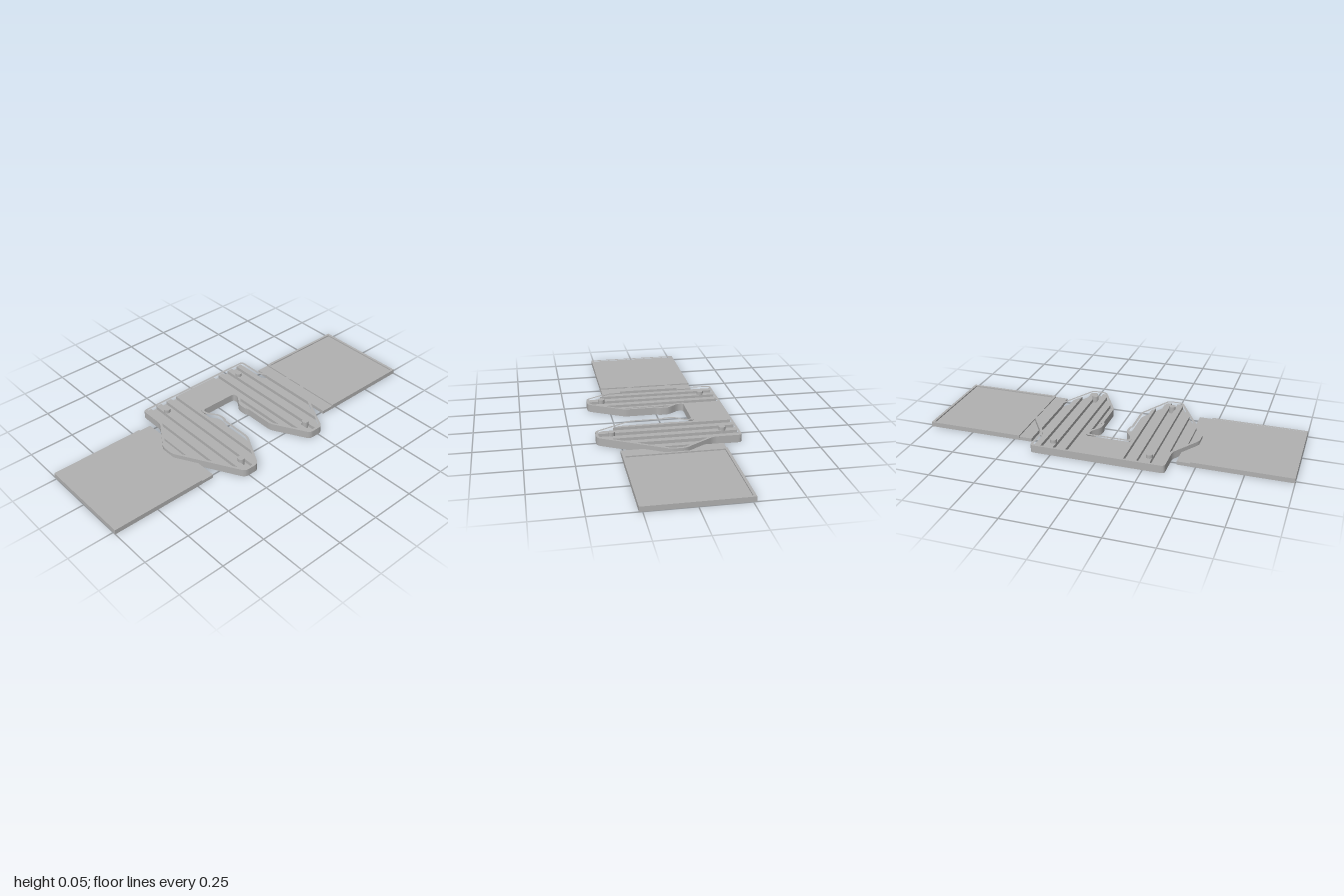
import * as THREE from 'three';

const grey = new THREE.MeshStandardMaterial({ color: 0xb0b0b0 });
grey.name = 'plain grey';

// Heights above the ground
const FLOOR = 0.014, RIB = 0.033, RIM = 0.042, PEG = 0.052;

// One half of the body outline as (x, z), from the rear corner round to the notch
const half = [
  [0.365, -0.374], [0.365, -0.22], [0.472, -0.055], [0.472, 0.02], [0.275, 0.372], [0.19, 0.372],
  [0.08, 0.175], [0.08, -0.005], [0.07, -0.015], [0.07, -0.07], [0.112, -0.125], [0.112, -0.16],
];
const outline = [...half, ...half.map(([x, z]) => [-x, z]).reverse()]
  .map(([x, z]) => new THREE.Vector2(x, -z));

// Moves every edge of the clockwise outline inwards by d
function inset(points, d) {
  const n = points.length;
  return points.map((p, i) => {
    const a = p.clone().sub(points[(i + n - 1) % n]).normalize();
    const b = points[(i + 1) % n].clone().sub(p).normalize();
    const na = new THREE.Vector2(a.y, -a.x), nb = new THREE.Vector2(b.y, -b.x);
    const m = na.clone().add(nb);
    return p.clone().addScaledVector(m, d / (1 + na.dot(nb)));
  });
}

// Closed path with small rounded corners
function rounded(points, r, target) {
  const n = points.length;
  points.forEach((p, i) => {
    const toward = (q) => {
      const len = p.distanceTo(q);
      return p.clone().lerp(q, Math.min(r, len * 0.4) / len);
    };
    const s = toward(points[(i + n - 1) % n]), e = toward(points[(i + 1) % n]);
    if (i === 0) target.moveTo(s.x, s.y); else target.lineTo(s.x, s.y);
    target.quadraticCurveTo(p.x, p.y, e.x, e.y);
  });
  target.closePath();
  return target;
}

// Upright slab from a plan shape, between two heights
function slab(name, shape, y0, y1) {
  const g = new THREE.ExtrudeGeometry(shape, { depth: y1 - y0, bevelEnabled: false, curveSegments: 5 });
  g.rotateX(-Math.PI / 2).translate(0, y0, 0);
  const mesh = new THREE.Mesh(g, grey);
  mesh.name = name;
  return mesh;
}

const plan = (pts) => new THREE.Shape(pts.map(([x, z]) => new THREE.Vector2(x, -z)));
const rect = (x0, x1, z0, z1) => plan([[x0, z1], [x1, z1], [x1, z0], [x0, z0]]);

// Front and rear limits of the body at a given |x|, kept just inside the rim
const mix = THREE.MathUtils.mapLinear;
const frontZ = (x) => Math.min(0.364, mix(x, 0.275, 0.472, 0.36, 0.008), mix(x, 0.08, 0.19, 0.163, 0.36));
const rearZ = (x) => (x <= 0.365 ? -0.368 : mix(x, 0.365, 0.472, -0.208, -0.043));

export function createModel() {
  const model = new THREE.Group();
  model.name = 'wingedBracket';

  // Body tray: floor and raised rim
  const body = new THREE.Group();
  body.name = 'body';
  body.add(slab('bodyFloor', rounded(inset(outline, 0.004), 0.02, new THREE.Shape()), 0, FLOOR));
  const rim = rounded(outline, 0.022, new THREE.Shape());
  rim.holes.push(rounded(inset(outline, 0.013), 0.018, new THREE.Path()));
  body.add(slab('bodyRim', rim, 0, RIM));
  body.add(slab('bridge', rect(-0.122, 0.122, -0.368, -0.166), 0.002, RIB));
  model.add(body);

  for (const s of [1, -1]) {
    const side = new THREE.Group();
    side.name = s > 0 ? 'leftSide' : 'rightSide';

    // Long ribs across the tray
    for (const [a, b] of [[0.121, 0.14], [0.175, 0.21], [0.245, 0.28], [0.315, 0.348], [0.385, 0.418]]) {
      const xs = [a, b];
      if (a < 0.19 && b > 0.19) xs.splice(1, 0, 0.19);
      if (a < 0.275 && b > 0.275) xs.splice(1, 0, 0.275);
      const pts = [...xs.map((x) => [s * x, frontZ(x)]), [s * b, rearZ(b)], [s * a, rearZ(a)]];
      side.add(slab('rib', plan(pts), 0.002, RIB));
    }

    // Locating pegs
    for (const [x, z] of [[0.232, 0.29], [0.263, -0.29]]) {
      const peg = new THREE.Mesh(new THREE.CylinderGeometry(0.018, 0.018, PEG - 0.004, 24), grey);
      peg.name = 'peg';
      peg.position.set(s * x, (PEG + 0.004) / 2, z);
      side.add(peg);
    }

    // Side plate: rimmed tray with a lower tongue under the body
    side.add(slab('plateFloor', rect(s * 0.4, s * 0.998, -0.266, 0.266), 0, 0.019));
    const edge = rect(s * 0.472, s, -0.267, 0.267);
    edge.holes.push(rect(s * 0.484, s * 0.986, -0.253, 0.253));
    side.add(slab('plateRim', edge, 0, 0.026));
    model.add(side);
  }
  return model;
}
